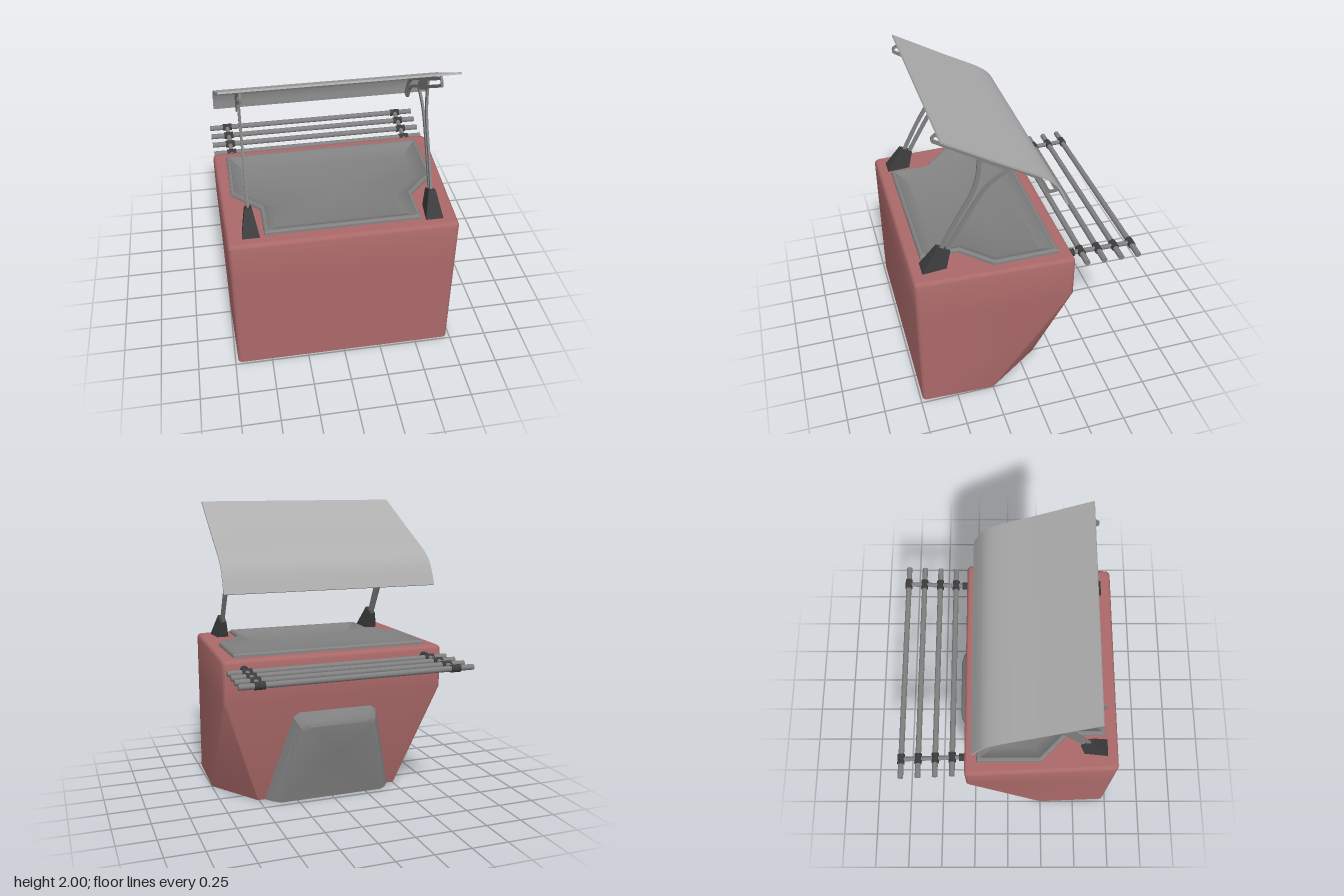
import * as THREE from 'three';
import { toCreasedNormals } from 'three/addons/utils/BufferGeometryUtils.js';

const mat = (color) => new THREE.MeshStandardMaterial({ color, side: THREE.DoubleSide });
const RED = mat(0xab6969), LIGHT = mat(0xadadad), GREY = mat(0x808080), STEEL = mat(0x808080), DARK = mat(0x3c3c3c);

function add(parent, name, geometry, material) {
  const mesh = new THREE.Mesh(geometry, material);
  mesh.name = name;
  parent.add(mesh);
  return mesh;
}

// Skin a list of rings (counter-clockwise seen from the last one); the last ring may be
// capped, and closed = false leaves out the strip between the last and first points
function loft(rings, capEnd = true, closed = true) {
  const pos = [];
  const tri = (a, b, c) => pos.push(...a, ...b, ...c);
  const n = rings[0].length;
  for (let k = 0; k + 1 < rings.length; k++) {
    for (let i = 0; i < (closed ? n : n - 1); i++) {
      const j = (i + 1) % n, p = rings[k], q = rings[k + 1];
      tri(p[i], p[j], q[j]);
      tri(p[i], q[j], q[i]);
    }
  }
  if (capEnd) {
    const r = rings[rings.length - 1];
    const c = [0, 1, 2].map((a) => r.reduce((s, p) => s + p[a], 0) / n);
    r.forEach((p, i) => tri(c, p, r[(i + 1) % n]));
  }
  const g = new THREE.BufferGeometry();
  g.setAttribute('position', new THREE.Float32BufferAttribute(pos, 3));
  return toCreasedNormals(g, 0.56);
}

// Complete a half ring on +x with its mirror image
const mirror = (half) => [...half, ...half.map(([x, y, z]) => [-x, y, z]).reverse()];

// Cabinet outline with rounded corners; foot = true cuts the back corners away
function bodyRing(y, i, foot = false) {
  const r = 0.028, half = [];
  for (let k = 0; k < 4; k++) {
    const a = (1 - k / 3) * Math.PI / 2;
    half.push([0.73 - i - r + r * Math.cos(a), y, 0.735 - i - r + r * Math.sin(a)]);
  }
  for (let k = 0; k < 4; k++) {
    const a = (k / 3) * Math.PI / 2;
    if (foot) half.push(k ? [0.515 - 0.008 * k, y, -0.11] : [0.748, y, 0.25]);
    else half.push([0.77 - i - r + r * Math.cos(a), y, -0.29 + i + r - r * Math.sin(a)]);
  }
  return mirror(half);
}

// Tray outline, narrow in front between the brackets
const trayRing = (y, i) => mirror([
  [0.5 - i, y, 0.65 - i],
  [0.5 - i, y, 0.4 - 0.414 * i],
  [0.68 - i, y, 0.22 - 0.414 * i],
  [0.68 - i, y, -0.21 + i],
]);

// Back panel outline lying parallel to the sloping back, d out from it
function panelRing(d, wBottom, wTop, top) {
  const p = (x, y) => [x, y, -0.11 - 0.248 * y - d];
  const c = 0.03;
  return [
    p(-wBottom, 0), p(-wTop - c * 0.4, top - c), p(-wTop + c, top),
    p(wTop - c, top), p(wTop + c * 0.4, top - c), p(wBottom, 0),
  ];
}

// Extrude a [z, y] outline along x, centred on x = 0
function sideExtrude(points, width) {
  const shape = new THREE.Shape(points.map(([z, y]) => new THREE.Vector2(-z, y)));
  const g = new THREE.ExtrudeGeometry(shape, { depth: width, bevelEnabled: false });
  return g.translate(0, 0, -width / 2).rotateY(Math.PI / 2);
}

// Flat strip of width w following [z, y] points
function ribbonOutline(points, w, steps = 20) {
  const curve = new THREE.CatmullRomCurve3(points.map(([z, y]) => new THREE.Vector3(z, y, 0)), false, 'centripetal');
  const a = [], b = [];
  for (let i = 0; i <= steps; i++) {
    const p = curve.getPoint(i / steps), t = curve.getTangent(i / steps);
    a.push([p.x - t.y * w / 2, p.y + t.x * w / 2]);
    b.unshift([p.x + t.y * w / 2, p.y - t.x * w / 2]);
  }
  return [...a, ...b];
}

function rod(parent, name, from, to, radius, material) {
  const a = new THREE.Vector3(...from), b = new THREE.Vector3(...to);
  const m = add(parent, name, new THREE.CylinderGeometry(radius, radius, a.distanceTo(b), 16), material);
  m.position.copy(a).add(b).multiplyScalar(0.5);
  m.quaternion.setFromUnitVectors(new THREE.Vector3(0, 1, 0), b.sub(a).normalize());
}

export function createModel() {
  const model = new THREE.Group();
  model.name = 'serviceCounter';

  // Cabinet shell, open underneath and around the tray
  const rimRing = bodyRing(1.03, 0.024);
  add(model, 'cabinet', loft([
    bodyRing(0, 0, true), bodyRing(0.74, 0), bodyRing(1.006, 0), bodyRing(1.018, 0.004), bodyRing(1.027, 0.012), rimRing,
  ], false), RED);
  const flat = (r) => r.map(([x, , z]) => new THREE.Vector2(x, -z));
  const topShape = new THREE.Shape(flat(rimRing));
  topShape.holes.push(new THREE.Path(flat(trayRing(0, 0.02))));
  add(model, 'cabinetTop', new THREE.ShapeGeometry(topShape).rotateX(-Math.PI / 2).translate(0, 1.03, 0), RED);

  // Shallow tray with raised rim
  add(model, 'tray', loft([
    trayRing(1.02, 0), trayRing(1.046, 0.003), trayRing(1.055, 0.012),
    trayRing(1.055, 0.025), trayRing(1.045, 0.035), trayRing(1.005, 0.105),
  ]), GREY);

  // Back panel, open underneath
  add(model, 'backPanel', loft([
    panelRing(-0.005, 0.46, 0.285, 0.645), panelRing(0.05, 0.42, 0.265, 0.605),
    panelRing(0.08, 0.39, 0.25, 0.58), panelRing(0.095, 0.36, 0.225, 0.555),
  ], true, false), GREY);

  // Rack behind the counter
  const rack = new THREE.Group();
  rack.name = 'rack';
  model.add(rack);
  const rackY = 0.971;
  for (let i = 0; i < 4; i++) {
    const z = -0.372 - i * 0.1137, half = 0.76 + i * 0.005;
    rod(rack, 'rackBar', [-half, rackY, z], [half, rackY, z], 0.019, STEEL);
    for (const s of [-1, 1]) {
      const x = s * (0.634 + i * 0.004);
      rod(rack, 'rackClamp', [x - 0.033, rackY, z], [x + 0.033, rackY, z], 0.025, DARK);
    }
  }
  for (const s of [-1, 1]) {
    rod(rack, 'rackArm', [s * 0.632, rackY, -0.28], [s * 0.646, rackY, -0.713], 0.016, STEEL);
    rod(rack, 'rackCollar', [s * 0.632, rackY, -0.28], [s * 0.633, rackY, -0.325], 0.026, DARK);
  }

  // Canopy sheet, a little wider toward its drooping back edge
  const sheet = ribbonOutline([[0.527, 1.994], [0.2, 1.81], [-0.09, 1.648], [-0.145, 1.598], [-0.18, 1.54], [-0.222, 1.443]], 0.012, 40);
  const canopy = sideExtrude(sheet, 2);
  const p = canopy.attributes.position;
  for (let i = 0; i < p.count; i++) p.setX(i, p.getX(i) * (0.705 + 0.03 * (0.53 - p.getZ(i)) / 0.76));
  add(model, 'canopy', toCreasedNormals(canopy, 0.5), LIGHT);

  // Canopy supports
  const strips = [
    ['frontStrut', [[0.53, 1.16], [0.424, 1.365], [0.329, 1.53], [0.292, 1.64], [0.28, 1.76]], 0.026],
    ['backStrut', [[0.49, 1.15], [0.377, 1.348], [0.286, 1.498], [0.2175, 1.586], [0.1, 1.668]], 0.026],
    ['upperRail', [[0.53, 1.974], [0.22, 1.797], [-0.085, 1.628], [-0.138, 1.575], [-0.207, 1.447]], 0.022],
    ['lowerRail', [[0.547, 1.933], [0.27, 1.769], [-0.03, 1.601], [-0.1, 1.55], [-0.148, 1.458]], 0.02],
    ['railFrontEnd', [[0.527, 1.972], [0.546, 1.957], [0.547, 1.928]], 0.016],
    ['railBackEnd', [[-0.144, 1.465], [-0.165, 1.45], [-0.207, 1.451]], 0.016],
  ];
  const hub = [[0.292, 1.825], [0.1, 1.716], [0.088, 1.664], [0.13, 1.668], [0.19, 1.705], [0.262, 1.745], [0.29, 1.755]];
  for (const s of [-1, 1]) {
    const support = new THREE.Group();
    support.name = s > 0 ? 'leftSupport' : 'rightSupport';
    support.position.x = s * 0.583;
    model.add(support);
    for (const [name, pts, w] of strips) add(support, name, sideExtrude(ribbonOutline(pts, w), 0.014), STEEL);
    add(support, 'hubPlate', sideExtrude(hub, 0.014), STEEL);
    add(support, 'footBracket', loft([
      mirror([[0.058, 1.025, 0.668], [0.042, 1.025, 0.51]]),
      mirror([[0.022, 1.183, 0.557], [0.022, 1.143, 0.477]]),
    ]), DARK);
  }
  return model;
}
